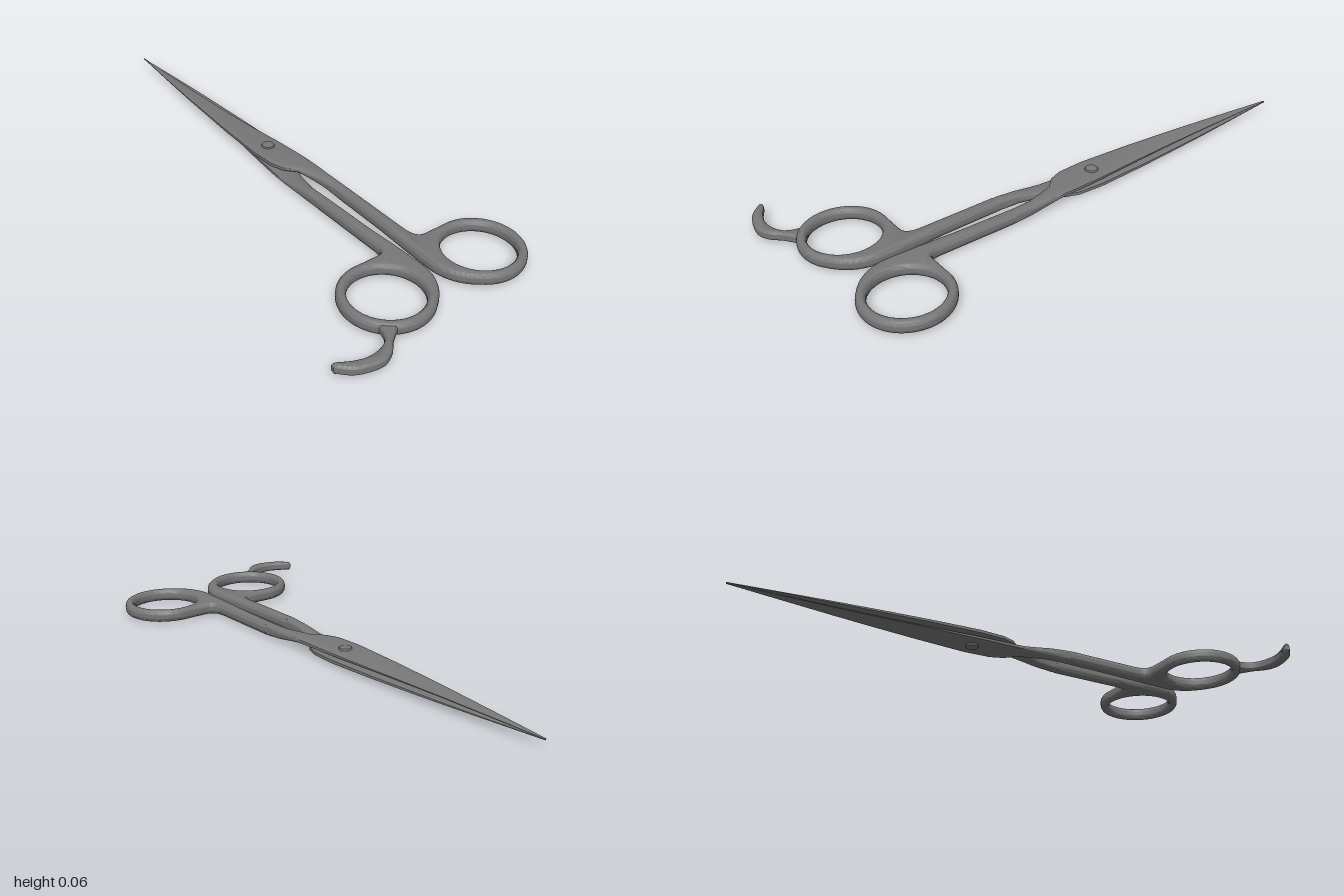
import * as THREE from 'three';
import { toCreasedNormals } from 'three/addons/utils/BufferGeometryUtils.js';

const PIVOT_X = 0.087, MID_Y = 0.029;
const steel = new THREE.MeshStandardMaterial({ color: 0x777777 });

function addMesh(parent, name, geometry) {
  const mesh = new THREE.Mesh(geometry, steel);
  mesh.name = name;
  parent.add(mesh);
  return mesh;
}

// Flat outline in x/z, thickened along y with rounded rims
function roundedPlate(shape, height, rim) {
  const bevel = height * 0.4, depth = height - 2 * bevel;
  const geo = new THREE.ExtrudeGeometry(shape, {
    depth, bevelThickness: bevel, bevelSize: rim, bevelOffset: -rim, bevelSegments: 5, curveSegments: 28,
  });
  geo.translate(0, 0, -depth / 2);
  geo.rotateX(Math.PI / 2);
  return toCreasedNormals(geo, 0.7);
}

// Loft of squared ovals: [z, left, right, bottom, top, squareness, thinning to the right]
function loft(stations, sides = 24) {
  const pos = [], index = [];
  const power = (v, e) => Math.sign(v) * Math.abs(v) ** e;
  for (const [z, l, r, b, t, e, thin] of stations) {
    for (let j = 0; j < sides; j++) {
      const a = (j / sides) * Math.PI * 2;
      const px = power(Math.cos(a), e), py = power(Math.sin(a), e);
      const height = (t - b) * (py + 1) / 2 * (1 - thin * (px + 1) / 2);
      pos.push((l + r) / 2 + px * (r - l) / 2, b + height, z);
    }
  }
  for (let i = 0; i < stations.length - 1; i++) {
    for (let j = 0; j < sides; j++) {
      const k = (j + 1) % sides, a = i * sides, b = a + sides;
      index.push(a + j, a + k, b + j, a + k, b + k, b + j);
    }
  }
  const last = (stations.length - 1) * sides;
  for (let j = 1; j < sides - 1; j++) index.push(0, j + 1, j, last, last + j, last + j + 1);
  const geo = new THREE.BufferGeometry();
  geo.setAttribute('position', new THREE.Float32BufferAttribute(pos, 3));
  geo.setIndex(index);
  return toCreasedNormals(geo, 0.6);
}

// One blade with its shank and finger ring, around the pivot axis
function makeHalf(name) {
  const half = new THREE.Group();
  half.name = name;

  addMesh(half, 'blade', loft([
    [-1.0, -0.002, 0.002, 0, 0.003, 0.5, 0.5],
    [-0.8, -0.021, 0.010, 0.001, 0.007, 0.5, 0.6],
    [-0.6, -0.038, 0.018, 0.001, 0.012, 0.5, 0.6],
    [-0.45, -0.048, 0.027, 0.001, 0.016, 0.5, 0.6],
    [-0.3, -0.058, 0.038, 0.001, 0.019, 0.5, 0.5],
    [-0.1, -0.066, 0.057, 0.001, 0.023, 0.5, 0.25],
    [0.0, -0.060, 0.064, 0.001, 0.024, 0.55, 0.1],
    [0.05, -0.042, 0.066, 0.001, 0.024, 0.6, 0],
    [0.09, -0.004, 0.067, 0.0, 0.024, 0.65, 0],
    [0.15, 0.012, 0.068, -0.009, 0.024, 0.7, 0],
    [0.2, 0.024, 0.069, -0.016, 0.023, 0.7, 0],
    [0.27, 0.027, 0.069, -0.022, 0.023, 0.7, 0],
    [0.34, 0.027, 0.068, -0.022, 0.022, 0.7, 0],
  ]));

  // Shank flowing into the finger ring
  const cx = 0.196, cz = 0.783;
  const outline = new THREE.Shape();
  outline.moveTo(0.027, 0.28);
  outline.lineTo(0.069, 0.28);
  outline.lineTo(0.068, 0.575);
  outline.quadraticCurveTo(0.068, 0.627, 0.1, 0.628);
  outline.lineTo(0.18, 0.628);
  outline.absarc(cx, cz, 0.156, -Math.PI / 2, Math.PI * 0.72, false);
  outline.quadraticCurveTo(0.02, 0.85, 0.013, 0.76);
  outline.quadraticCurveTo(0.012, 0.68, 0.023, 0.5);
  outline.closePath();
  const hole = new THREE.Path();
  hole.absarc(cx, cz, 0.123, 0, Math.PI * 2, true);
  outline.holes.push(hole);
  addMesh(half, 'handle', roundedPlate(outline, 0.046, 0.014));
  return half;
}

export function createModel() {
  const model = new THREE.Group();
  model.name = 'scissors';

  // Both halves are the same, turned half a revolution about the long axis
  for (const [name, turn] of [['upperHalf', 0], ['lowerHalf', Math.PI]]) {
    const half = makeHalf(name);
    half.position.set(PIVOT_X, MID_Y, 0);
    half.rotation.z = turn;
    model.add(half);
  }

  // Pivot screw with a shallow dome on both ends
  const profile = [[0, -0.029], [0.014, -0.028], [0.022, -0.026], [0.024, -0.022],
    [0.024, 0.022], [0.022, 0.026], [0.014, 0.028], [0, 0.029]];
  const screw = addMesh(model, 'pivotScrew', toCreasedNormals(
    new THREE.LatheGeometry(profile.map(p => new THREE.Vector2(...p)), 28), 0.6));
  screw.position.set(PIVOT_X, MID_Y, -0.1);

  // Curved finger rest on the ring at -x
  const rest = new THREE.Shape();
  const points = (list) => list.map(p => new THREE.Vector2(...p));
  rest.moveTo(-0.225, 0.87);
  rest.splineThru(points([[-0.232, 0.905], [-0.25, 0.935], [-0.285, 0.953], [-0.335, 0.958],
    [-0.38, 0.945], [-0.42, 0.924], [-0.436, 0.922], [-0.439, 0.936]]));
  rest.splineThru(points([[-0.40, 0.975], [-0.35, 0.995], [-0.30, 1.0], [-0.258, 0.98],
    [-0.225, 0.947], [-0.175, 0.912]]));
  rest.closePath();
  addMesh(model, 'fingerRest', roundedPlate(rest, 0.034, 0.01)).position.y = MID_Y;

  return model;
}
